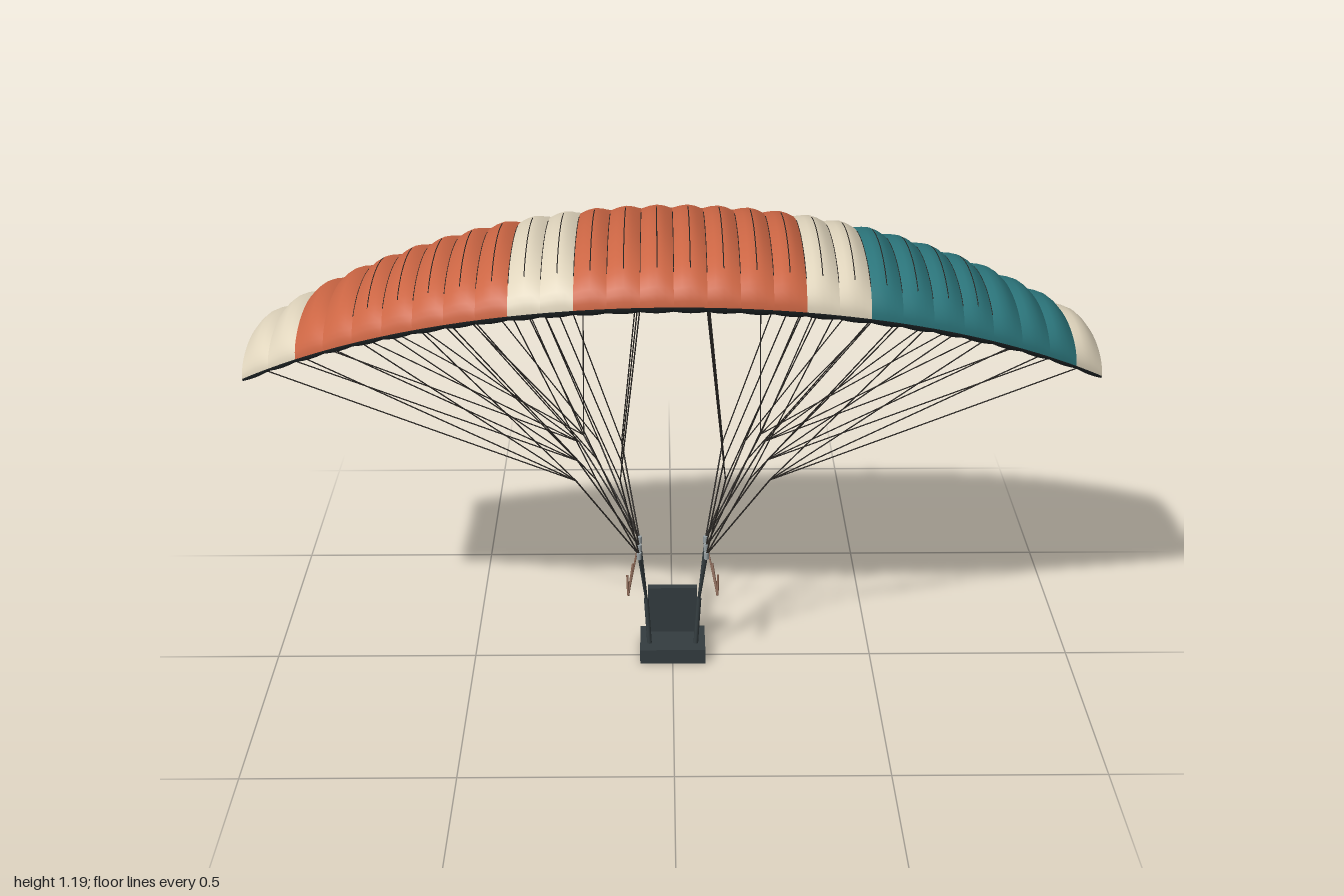
import * as THREE from 'three';
import { mergeGeometries } from 'three/addons/utils/BufferGeometryUtils.js';

const CELLS = 28;
const COLORS = { orange: 0xcc6644, teal: 0x2c767c, cream: 0xe0d5bd, dark: 0x1f2527, seat: 0x343d40,
  line: 0x2a2724, brake: 0x7a5540, metal: 0x9aa3a6, cap: 0xa3ad9b };

const material = (name) => new THREE.MeshStandardMaterial({ color: COLORS[name] });

function addMesh(parent, geometry, color, name) {
  const mesh = new THREE.Mesh(geometry, material(color));
  mesh.name = name;
  parent.add(mesh);
  return mesh;
}

// Wing planform and arc
const leadZ = (x) => 0.3 - 0.268 * x * x;
const tailZ = (x) => -0.287 - 0.013 * x * x;
const arcY = (x) => 1.083 - (1.87 - Math.sqrt(1.87 * 1.87 - x * x));
// Billow of a cell between its two ribs
const billow = (x) => Math.abs(Math.sin((x * CELLS / 2) * Math.PI));

// Upper and lower skins: u runs from leading edge (0) to trailing edge (1)
function upper(x, u) {
  const chord = leadZ(x) - tailZ(x);
  const f = Math.sqrt(u) * Math.pow(1 - u, 0.8) / 0.42;
  return new THREE.Vector3(x, arcY(x) + f * (0.155 * chord + 0.016 * (billow(x) - 0.1)), leadZ(x) - u * chord);
}
function lower(x, u) {
  const chord = leadZ(x) - tailZ(x);
  const g = Math.pow(u, 0.3) * Math.pow(1 - u, 2.5) / 0.385;
  return new THREE.Vector3(x, arcY(x) - g * (0.032 * chord + 0.005 * billow(x)), leadZ(x) - u * chord);
}

// Grid surface from a rule fn(a, b) with a and b in 0..1
function surface(fn, na, nb, flip) {
  const pos = [], index = [];
  for (let j = 0; j <= nb; j++) {
    for (let i = 0; i <= na; i++) pos.push(...fn(i / na, j / nb).toArray());
  }
  for (let j = 0; j < nb; j++) {
    for (let i = 0; i < na; i++) {
      const p = j * (na + 1) + i, q = p + na + 1;
      if (flip) index.push(p, q, p + 1, p + 1, q, q + 1);
      else index.push(p, p + 1, q, p + 1, q + 1, q);
    }
  }
  const geometry = new THREE.BufferGeometry();
  geometry.setAttribute('position', new THREE.Float32BufferAttribute(pos, 3));
  geometry.setIndex(index);
  geometry.computeVertexNormals();
  return geometry;
}

// Straight cord between two points
function cord(a, b, radius = 0.0016, sides = 5) {
  const dir = b.clone().sub(a);
  const geometry = new THREE.CylinderGeometry(radius, radius, dir.length(), sides);
  geometry.applyQuaternion(new THREE.Quaternion().setFromUnitVectors(new THREE.Vector3(0, 1, 0), dir.clone().normalize()));
  const mid = a.clone().add(b).multiplyScalar(0.5);
  return geometry.translate(mid.x, mid.y, mid.z);
}

function cellColor(i) {
  if (i < 2 || i === 9 || i === 10 || i === 18 || i === 19 || i === 27) return 'cream';
  return i < 18 ? 'orange' : 'teal';
}

function buildCanopy() {
  const canopy = new THREE.Group();
  canopy.name = 'canopy';
  const panels = { orange: [], teal: [], cream: [] }, inlets = [], seams = [];
  const mouth = 0.06;
  for (let i = 0; i < CELLS; i++) {
    const x = (a) => -1 + (i + a) * 2 / CELLS;
    const list = panels[cellColor(i)];
    list.push(surface((a, b) => upper(x(a), b * b), 4, 18, false));
    list.push(surface((a, b) => lower(x(a), mouth + (1 - mouth) * b), 4, 10, true));
    inlets.push(surface((a, b) => lower(x(a), mouth * b * b), 4, 4, true));
  }
  for (const [color, list] of Object.entries(panels)) {
    addMesh(canopy, mergeGeometries(list), color, color + 'Panels');
  }
  addMesh(canopy, mergeGeometries(inlets), 'dark', 'airInlets');

  // Chordwise seams on ribs and cell centres
  for (let k = 8; k <= 2 * CELLS - 8; k++) {
    const x = -1 + k / CELLS;
    const points = [];
    for (let j = 0; j <= 14; j++) points.push(upper(x, 0.09 + 0.58 * j / 14));
    seams.push(new THREE.TubeGeometry(new THREE.CatmullRomCurve3(points), 20, 0.0011, 4));
  }
  addMesh(canopy, mergeGeometries(seams), 'line', 'seams');

  // Closed wing tips
  for (const s of [-1, 1]) {
    const cap = surface((a, b) => lower(s, b * b).lerp(upper(s, b * b), a), 2, 18, s > 0);
    addMesh(canopy, cap, 'cap', s > 0 ? 'leftTip' : 'rightTip');
  }
  return canopy;
}

// Rows of suspension lines: chord fraction, junction z and riser top z
const ROWS = [
  { name: 'frontLines', u: 0.12, junctionZ: 0.067, riserZ: 0.042 },
  { name: 'middleLines', u: 0.36, junctionZ: -0.035, riserZ: 0.003 },
  { name: 'rearLines', u: 0.66, junctionZ: -0.135, riserZ: -0.037 },
  { name: 'brakeLines', u: 0.97, junctionZ: -0.172, riserZ: -0.042 },
];
// Junction x and the rib numbers it fans out to
const FANS = [
  { x: 0.125, ribs: [1, 4] },
  { x: 0.18, ribs: [5, 7] },
  { x: 0.23, ribs: [8, 10, 12, 13.3] },
];

function buildSide(s) {
  const side = new THREE.Group();
  side.name = s > 0 ? 'leftRigging' : 'rightRigging';
  const v = (x, y, z) => new THREE.Vector3(s * x, y, z);

  for (const row of ROWS) {
    const cords = [];
    const top = v(0.082, 0.32, row.riserZ);
    const fans = row.name === 'brakeLines' ? [{ x: 0.22, ribs: [3, 6, 9, 12] }] : FANS;
    for (const fan of fans) {
      const junction = v(fan.x, 0.54, row.junctionZ);
      cords.push(cord(top, junction, 0.002));
      for (const rib of fan.ribs) cords.push(cord(junction, lower(s * rib / 14, row.u)));
    }
    addMesh(side, mergeGeometries(cords), 'line', row.name);
  }

  // Risers with a metal link on each
  const split = v(0.066, 0.165, -0.006);
  const straps = [cord(v(0.058, 0.03, 0.006), split, 0.006, 8)];
  const links = [];
  for (const row of ROWS.slice(0, 3)) {
    const top = v(0.082, 0.315, row.riserZ);
    straps.push(cord(split, top, 0.004, 6));
    links.push(cord(top.clone().setY(0.308), top.clone().setY(0.326), 0.006, 8));
  }
  addMesh(side, mergeGeometries(straps), 'seat', 'risers');
  addMesh(side, mergeGeometries(links), 'metal', 'riserLinks');

  // Brake handle hanging from the rear riser
  const handle = v(0.11, 0.208, 0.05);
  const toggle = [
    cord(v(0.082, 0.318, -0.04), handle, 0.0022),
    cord(handle, v(0.098, 0.27, 0.0), 0.003),
    cord(handle, v(0.112, 0.25, 0.022), 0.003),
  ];
  addMesh(side, mergeGeometries(toggle), 'brake', 'brakeHandle');
  return side;
}

function buildHarness() {
  const harness = new THREE.Group();
  harness.name = 'harness';
  addMesh(harness, new THREE.BoxGeometry(0.164, 0.04, 0.112), 'seat', 'seat').position.set(0, 0.02, -0.016);
  addMesh(harness, new THREE.BoxGeometry(0.124, 0.134, 0.018), 'seat', 'backrest').position.set(0, 0.103, -0.054);
  return harness;
}

export function createModel() {
  const model = new THREE.Group();
  model.name = 'paraglider';
  model.add(buildCanopy(), buildSide(1), buildSide(-1), buildHarness());
  return model;
}
